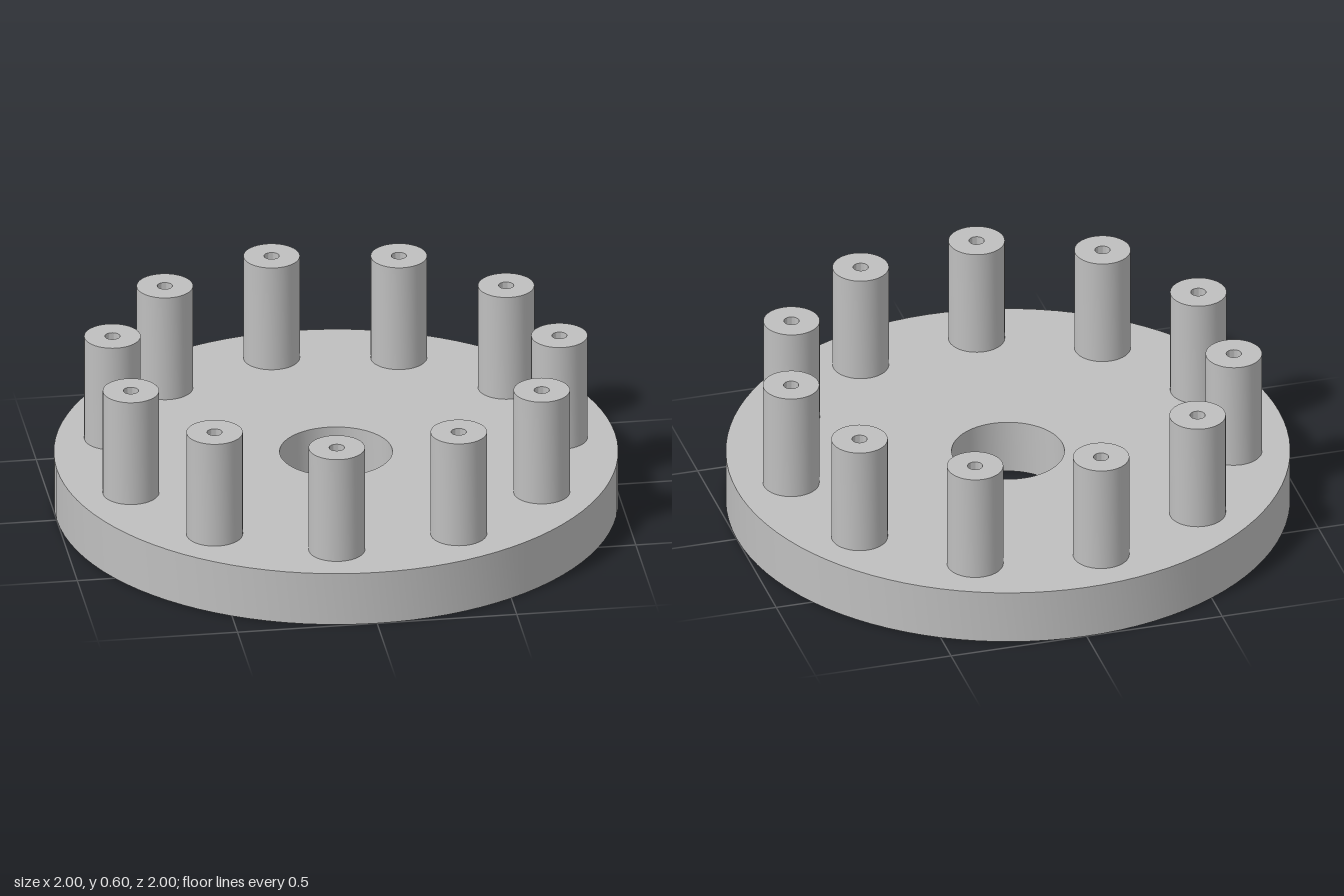
import * as THREE from 'three';
import { toCreasedNormals } from 'three/addons/utils/BufferGeometryUtils.js';

const POSTS = 11, RING = 0.8, PLATE_TOP = 0.2, POST_TOP = 0.6;

// Revolve a [radius, height] profile, keeping its corners sharp
function revolve(profile, segments) {
  const points = profile.map(([r, y]) => new THREE.Vector2(r, y));
  return toCreasedNormals(new THREE.LatheGeometry(points, segments), Math.PI / 6);
}

export function createModel() {
  const model = new THREE.Group();
  model.name = 'pegDisc';
  const grey = new THREE.MeshStandardMaterial({ color: 0xbfbfbf });
  grey.name = 'grey';

  // Round plate with a central through hole
  const plate = new THREE.Mesh(
    revolve([[1, 0], [1, PLATE_TOP], [0.2, PLATE_TOP], [0.2, 0], [1, 0]], 96), grey);
  plate.name = 'plate';
  model.add(plate);

  // Ring of posts, each bored down to the plate
  const postGeometry = revolve(
    [[0.1, PLATE_TOP], [0.1, POST_TOP], [0.027, POST_TOP], [0.027, PLATE_TOP]], 48);
  const posts = new THREE.Group();
  posts.name = 'posts';
  for (let i = 0; i < POSTS; i++) {
    const angle = (i / POSTS) * Math.PI * 2;
    const post = new THREE.Mesh(postGeometry, grey);
    post.name = `post${i + 1}`;
    post.position.set(RING * Math.cos(angle), 0, RING * Math.sin(angle));
    posts.add(post);
  }
  model.add(posts);
  return model;
}
